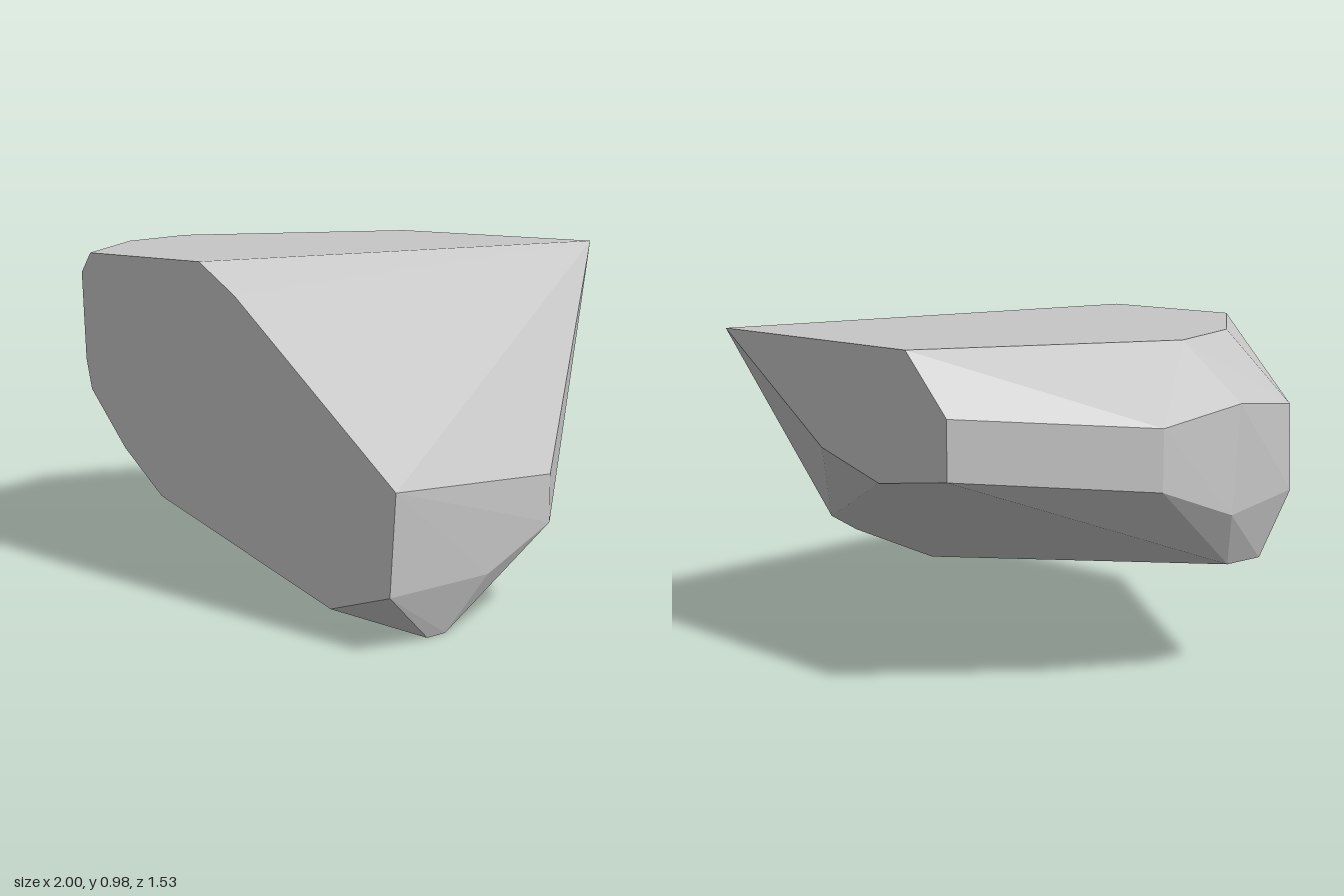
import * as THREE from 'three';
import { ConvexGeometry } from 'three/addons/geometries/ConvexGeometry.js';

const stone = new THREE.MeshStandardMaterial({ color: 0xc6c6c6 });
stone.name = 'pale stone grey';

// Corner helpers for the three flat cut planes
const TOP = 0.98, FRONT = 0.764, BACK = -0.764;
const onTop = ([x, z]) => [x, TOP, z];
const onFront = ([x, y]) => [x, y, FRONT];
const onBack = ([x, y]) => [x, y, BACK];

export function createModel() {
  const group = new THREE.Group();
  group.name = 'boulder';

  const corners = [
    // flat top
    ...[[-0.275, FRONT], [0.23, FRONT], [0.395, BACK], [-0.46, BACK], [-0.78, -0.01], [-0.65, 0.33]].map(onTop),
    // flat front
    ...[[-0.32, 0.92], [-0.305, 0.66], [-0.28, 0.57], [-0.12, 0.41], [0.05, 0.29],
      [0.76, 0.09], [0.98, 0.16], [1, 0.437], [0.38, 0.895]].map(onFront),
    // flat back
    ...[[-0.63, 0.81], [-0.63, 0.64], [-0.34, 0.6], [-0.08, 0.67]].map(onBack),
    // chipped side at -x
    [-1, 0.82, -0.01], [-1, 0.51, -0.04], [-0.95, 0.79, 0.265], [-0.96, 0.54, 0.265],
    [-0.97, 0.775, -0.29], [-0.97, 0.6, -0.29], [-0.92, 0.345, 0.18], [-0.92, 0.345, 0.04],
    // side at +x and the low tip
    [0.94, 0.388, 0.084], [0.94, 0.25, 0.084], [0.955, 0.15, 0.36],
    [0.91, 0, 0.55], [0.91, 0, 0.48],
    // sloping underside
    [0.74, 0.2, -0.01], [0.63, 0.29, -0.2],
  ].map((p) => new THREE.Vector3(...p));

  const rock = new THREE.Mesh(new ConvexGeometry(corners), stone);
  rock.name = 'rock';
  group.add(rock);
  return group;
}
